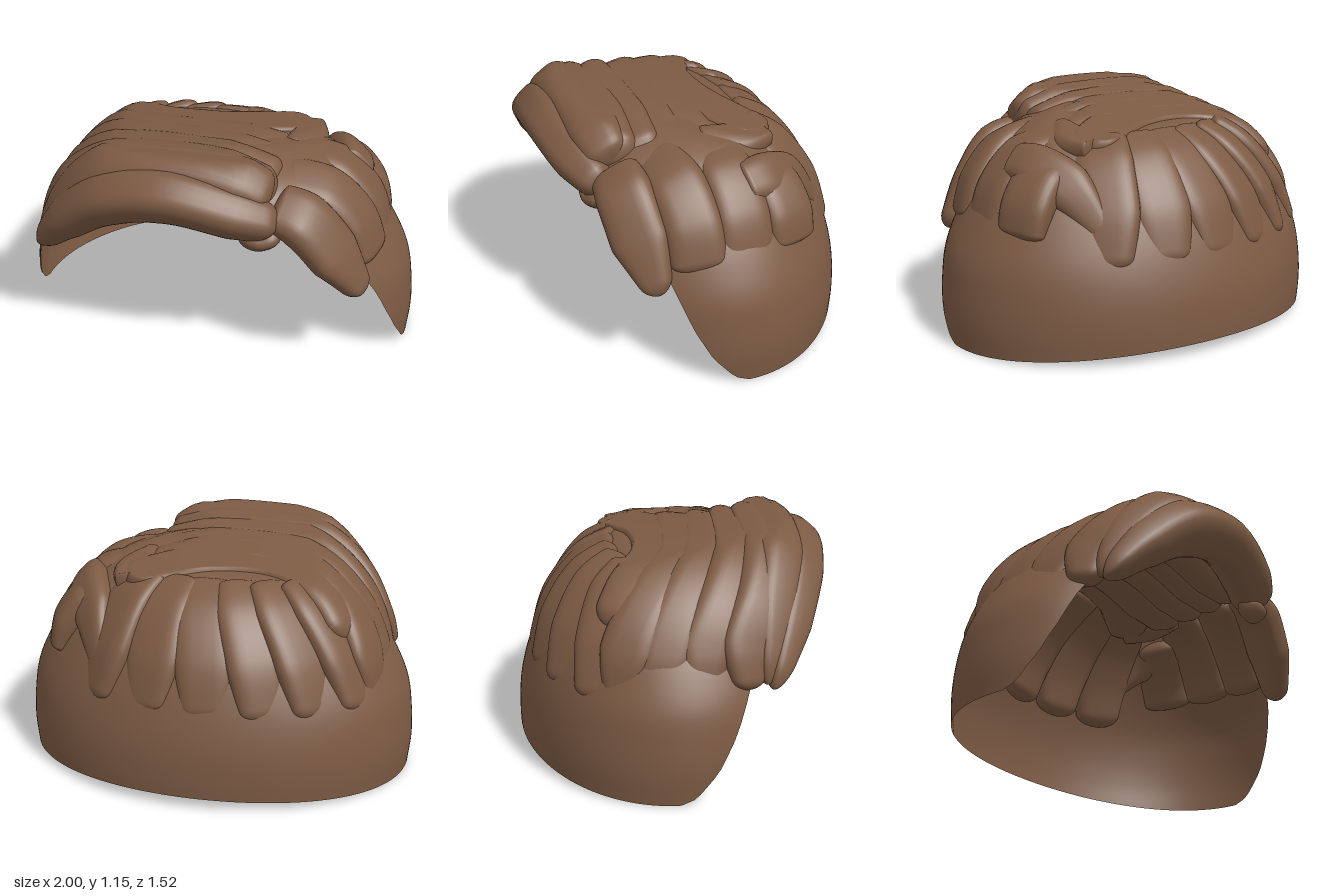
import * as THREE from 'three';

const brown = new THREE.MeshStandardMaterial({ color: 0x7d5b44, side: THREE.DoubleSide });
brown.name = 'brown hair';

// Gently sloping plane that flattens the crown
const flatten = (p, drop = 0) => {
  p.y = Math.min(p.y, 1.066 + 0.16 * p.z - 0.1 * p.x * p.x - drop);
  return p;
};

// Piecewise linear lookup of [key, value] pairs
function lookup(table, k) {
  for (let i = 1; i < table.length; i++) {
    const [a, va] = table[i - 1], [b, vb] = table[i];
    if (k <= b) return va + (vb - va) * Math.max(0, (k - a) / (b - a));
  }
  return table[table.length - 1][1];
}
const spread = (values) => values.map((v, i) => [i / (values.length - 1), v]);

// Surface of nv + 1 rings with nu points each, closed around
function loft(name, nu, nv, point) {
  const pos = [], index = [];
  for (let j = 0; j <= nv; j++) {
    for (let i = 0; i < nu; i++) {
      const p = point((i / nu) * Math.PI * 2, j / nv);
      pos.push(p.x, p.y, p.z);
      if (j === nv) continue;
      const a = j * nu + i, b = j * nu + (i + 1) % nu;
      index.push(a, b, a + nu, b, b + nu, a + nu);
    }
  }
  const g = new THREE.BufferGeometry();
  g.setAttribute('position', new THREE.Float32BufferAttribute(pos, 3));
  g.setIndex(index);
  g.computeVertexNormals();
  const mesh = new THREE.Mesh(g, brown);
  mesh.name = name;
  return mesh;
}

// Half width, back depth and front depth of the scalp at even heights
const TOP = 1.16;
const profile = new THREE.CatmullRomCurve3([
  [0.985, 0.755, 0.66], [0.998, 0.76, 0.70], [0.99, 0.75, 0.72],
  [0.965, 0.715, 0.72], [0.90, 0.66, 0.70], [0.81, 0.585, 0.67],
  [0.70, 0.47, 0.62], [0.50, 0.25, 0.50], [0, 0, 0],
].map((p) => new THREE.Vector3(...p)), false, 'catmullrom', 0.5);

function scalp(phi, y, offset = 0) {
  const r = profile.getPoint(Math.min(1, Math.max(0, y / TOP)));
  const s = Math.sin(phi);
  return new THREE.Vector3((r.x + offset) * Math.cos(phi), y, s * ((s < 0 ? r.y : r.z) + offset));
}

// Hairline height by how far forward it is
const hairline = [[0, 0], [0.04, 0], [0.15, 0.03], [0.29, 0.15], [0.39, 0.3], [0.49, 0.5],
  [0.6, 0.66], [0.75, 0.8], [1, 0.9]];

// Flattened lock of hair along a path, with rounded ends
let count = 0;
function lock(name, points, widths, thicks, round = 0.08) {
  const curve = new THREE.CatmullRomCurve3(points.map((p) => (p.isVector3 ? p : new THREE.Vector3(...p))));
  const wTable = spread(widths), hTable = spread(thicks);
  const core = new THREE.Vector3(0, 0.25, 0);
  const drop = 0.0003 * count++;
  const pow = (c, e) => Math.sign(c) * Math.pow(Math.abs(c), e);
  return loft(name, 32, 44, (a, v) => {
    const t = (1 - Math.cos(v * Math.PI)) / 2;
    const c = curve.getPoint(t), T = curve.getTangent(t);
    const N = c.clone().sub(core);
    N.addScaledVector(T, -N.dot(T)).normalize();
    const B = new THREE.Vector3().crossVectors(T, N);
    const e = Math.min(1, Math.min(t, 1 - t) / round);
    const k = Math.sqrt(Math.max(0, 1 - (1 - e) ** 2));
    c.addScaledVector(B, pow(Math.cos(a), 0.65) * lookup(wTable, t) * k);
    c.addScaledVector(N, pow(Math.sin(a), 0.8) * lookup(hTable, t) * k);
    return flatten(c, drop);
  });
}

export function createModel() {
  const hair = new THREE.Group();
  hair.name = 'hair';

  // Thin shell over the sides, back and crown
  hair.add(loft('scalpShell', 144, 64, (phi, v) => {
    const s = Math.sin(phi);
    const low = s < 0 ? 0.06 * s * s : lookup(hairline, s);
    return flatten(scalp(phi, low + (TOP - low) * v), 0.02);
  }));

  // Hanging locks across the back, sinking into the shell at their tips
  [-1.02, -1.35, -1.67, -1.98, -2.27, -2.58].forEach((phi, i) => {
    const path = [[0.98, 0.06, -0.06], [0.88, 0.05, -0.035], [0.68, 0.01, -0.04], [0.43, 0, -0.06]]
      .map(([y, turn, offset]) => scalp(phi + turn, y, offset));
    hair.add(lock('backLock' + (i + 1), path, [0.13, 0.15, 0.15, 0.11], [0.05, 0.06, 0.065, 0.06]));
  });

  // Bands running across the crown and sweeping down the right side
  const bands = [
    [[0.38, 0.95, 0.42], [0.1, 0.99, 0.41], [-0.35, 0.99, 0.43], [-0.6, 0.88, 0.41], [-0.76, 0.69, 0.34], [-0.82, 0.5, 0.34]],
    [[0.39, 0.94, 0.3], [0.1, 0.97, 0.3], [-0.35, 0.98, 0.31], [-0.62, 0.87, 0.24], [-0.78, 0.68, 0.15], [-0.84, 0.49, 0.13]],
    [[0.39, 0.93, 0.16], [0.1, 0.95, 0.18], [-0.35, 0.96, 0.17], [-0.62, 0.87, 0.06], [-0.79, 0.67, -0.04], [-0.85, 0.47, -0.08]],
    [[0.39, 0.92, 0.0], [0.1, 0.94, 0.05], [-0.35, 0.95, 0.06], [-0.62, 0.86, -0.1], [-0.77, 0.67, -0.21], [-0.81, 0.45, -0.25]],
  ];
  bands.forEach((path, i) => hair.add(lock('crownBand' + (i + 1), path,
    [0.1, 0.13, 0.13, 0.13, 0.13, 0.07], [0.1, 0.15, 0.14, 0.09, 0.06, 0.05], 0.05)));

  // Wavy ridge behind the crown, rising into a lump at its end
  hair.add(lock('crownRidge', [[-0.69, 0.76, -0.29], [-0.56, 0.9, -0.18], [-0.3, 0.96, -0.05], [0, 0.96, -0.06], [0.2, 0.96, -0.15],
    [0.41, 0.94, -0.29]], [0.1, 0.13, 0.14, 0.15, 0.14, 0.12], [0.06, 0.08, 0.12, 0.13, 0.12, 0.1]));
  hair.add(lock('crownCurl', [[0.35, 0.94, -0.29], [0.4, 0.94, -0.15], [0.36, 0.94, 0.05]], [0.09, 0.1, 0.09], [0.11, 0.1, 0.1]));

  // Locks falling over the left side
  const left = [
    [[0.38, 0.91, 0.47], [0.52, 0.86, 0.47], [0.67, 0.69, 0.45], [0.81, 0.47, 0.41]],
    [[0.36, 0.95, 0.28], [0.58, 0.89, 0.24], [0.73, 0.75, 0.22], [0.82, 0.56, 0.22]],
    [[0.38, 0.95, 0.0], [0.59, 0.9, -0.01], [0.74, 0.76, -0.02], [0.83, 0.57, -0.02]],
    [[0.52, 0.88, -0.2], [0.64, 0.82, -0.23], [0.73, 0.71, -0.26], [0.78, 0.57, -0.27]],
  ];
  left.forEach((path, i) => hair.add(lock('leftLock' + (i + 1), path, [0.12, 0.14, 0.14, i ? 0.13 : 0.06], [0.07, 0.085, 0.075, 0.05])));

  // Lock swept backwards above the left side
  hair.add(lock('leftSweep', [[0.66, 0.87, -0.04], [0.63, 0.87, -0.18], [0.56, 0.8, -0.34], [0.45, 0.57, -0.53]],
    [0.1, 0.115, 0.12, 0.05], [0.08, 0.08, 0.07, 0.05]));

  // Layered fringe sweeping over the forehead
  hair.add(lock('upperFringe', [[0.36, 0.94, 0.46], [0.2, 1.02, 0.49], [-0.1, 1.06, 0.5], [-0.4, 1.0, 0.5],
    [-0.63, 0.82, 0.47], [-0.81, 0.52, 0.43]], [0.11, 0.13, 0.13, 0.13, 0.11, 0.05], [0.1, 0.12, 0.12, 0.12, 0.08, 0.05]));
  hair.add(lock('fringe', [[0.41, 0.84, 0.52], [0.22, 0.91, 0.59], [-0.08, 0.975, 0.63], [-0.38, 0.91, 0.6],
    [-0.62, 0.73, 0.54], [-0.82, 0.5, 0.46]], [0.08, 0.11, 0.115, 0.12, 0.1, 0.04], [0.1, 0.12, 0.13, 0.13, 0.1, 0.05]));

  // Small tuck beneath the fringe
  hair.add(lock('fringeTuck', [[0.23, 0.79, 0.55], [0.33, 0.77, 0.56], [0.43, 0.81, 0.53]], [0.04, 0.05, 0.05], [0.05, 0.06, 0.05], 0.3));
  return hair;
}
